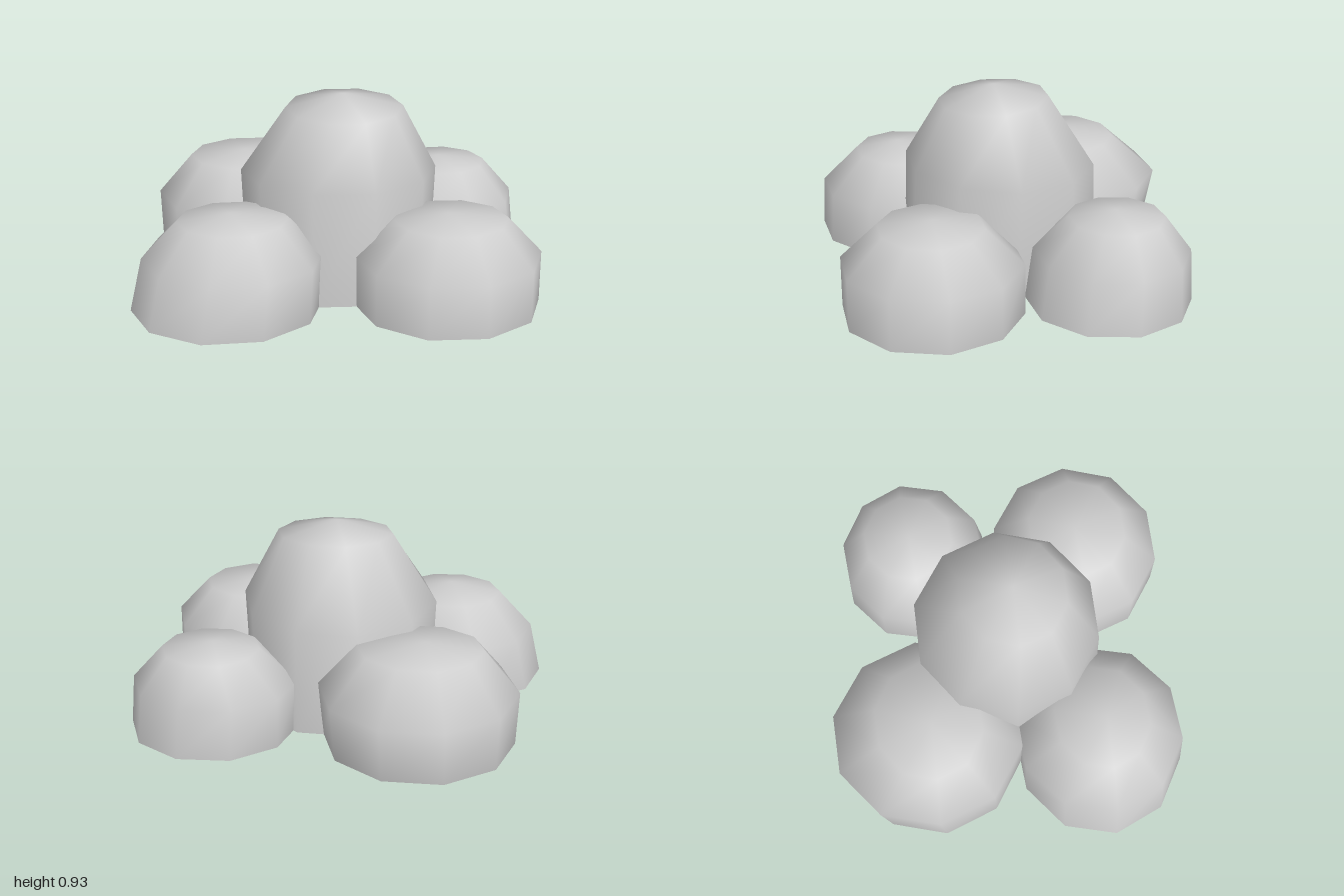
import * as THREE from 'three';

const SIDES = 10;

// Each section is [centre x, y, centre z, radius x, radius z, tilt], listed from the ground up.
const LOBES = [
  {
    name: 'centralDome', phase: 0.03, apex: [0.04, 0.93, 0.07],
    sections: [
      [0.02, 0, 0.04, 0.46, 0.48, 0],
      [0.02, 0.54, 0.035, 0.48, 0.463, 0.02],
      [0.045, 0.865, 0.07, 0.285, 0.265, -0.015],
    ],
  },
  {
    name: 'backRightLobe', phase: 0, apex: [-0.43, 0.505, -0.4],
    sections: [
      [-0.41, 0, -0.4, 0.46, 0.45, 0],
      [-0.405, 0.28, -0.425, 0.475, 0.48, 0],
      [-0.41, 0.48, -0.41, 0.3, 0.265, 0],
    ],
  },
  {
    name: 'backLeftLobe', phase: -0.05, apex: [0.58, 0.45, -0.38],
    sections: [
      [0.59, 0, -0.355, 0.41, 0.395, 0],
      [0.575, 0.25, -0.37, 0.4, 0.37, 0],
      [0.59, 0.42, -0.385, 0.235, 0.227, 0],
    ],
  },
  {
    name: 'frontLeftLobe', phase: 0.03, apex: [0.5, 0.452, 0.47],
    sections: [
      [0.5, 0, 0.475, 0.445, 0.43, 0],
      [0.5, 0.25, 0.475, 0.445, 0.43, 0],
      [0.51, 0.427, 0.48, 0.27, 0.25, 0],
    ],
  },
  {
    name: 'frontRightLobe', phase: -0.04, apex: [-0.52, 0.478, 0.45],
    sections: [
      [-0.545, 0, 0.43, 0.455, 0.425, 0],
      [-0.51, 0.26, 0.425, 0.43, 0.42, 0],
      [-0.51, 0.438, 0.43, 0.262, 0.235, 0],
    ],
  },
];

function ringPoints([cx, y, cz, rx, rz, tilt], phase) {
  const points = [];
  for (let i = 0; i < SIDES; i++) {
    const a = phase + (i / SIDES) * Math.PI * 2;
    points.push(cx + rx * Math.cos(a), y + tilt * Math.sin(a), cz + rz * Math.sin(a));
  }
  return points;
}

function makeGeometry(positions, index) {
  const geometry = new THREE.BufferGeometry();
  geometry.setAttribute('position', new THREE.Float32BufferAttribute(positions, 3));
  geometry.setIndex(index);
  geometry.computeVertexNormals();
  return geometry;
}

// Smooth shell: stacked rings closed by a fan at the apex
function shellGeometry({ sections, apex, phase }) {
  const positions = sections.flatMap((s) => ringPoints(s, phase));
  const top = sections.length * SIDES;
  const index = [];
  positions.push(...apex);
  for (let r = 0; r < sections.length; r++) {
    for (let i = 0; i < SIDES; i++) {
      const a = r * SIDES + i;
      const b = r * SIDES + ((i + 1) % SIDES);
      if (r === sections.length - 1) index.push(a, top, b);
      else index.push(a, a + SIDES, b, b, a + SIDES, b + SIDES);
    }
  }
  return makeGeometry(positions, index);
}

// Flat underside, kept separate so its edge stays sharp
function baseGeometry({ sections, phase }) {
  const [cx, y, cz] = sections[0];
  const positions = [...ringPoints(sections[0], phase), cx, y, cz];
  const index = [];
  for (let i = 0; i < SIDES; i++) index.push(SIDES, i, (i + 1) % SIDES);
  return makeGeometry(positions, index);
}

export function createModel() {
  const model = new THREE.Group();
  model.name = 'lobedMound';
  const stone = new THREE.MeshStandardMaterial({ color: 0xcccccc });
  stone.name = 'pale grey';

  for (const lobe of LOBES) {
    const group = new THREE.Group();
    group.name = lobe.name;
    const shell = new THREE.Mesh(shellGeometry(lobe), stone);
    shell.name = lobe.name + 'Shell';
    const base = new THREE.Mesh(baseGeometry(lobe), stone);
    base.name = lobe.name + 'Base';
    group.add(shell, base);
    model.add(group);
  }
  return model;
}
